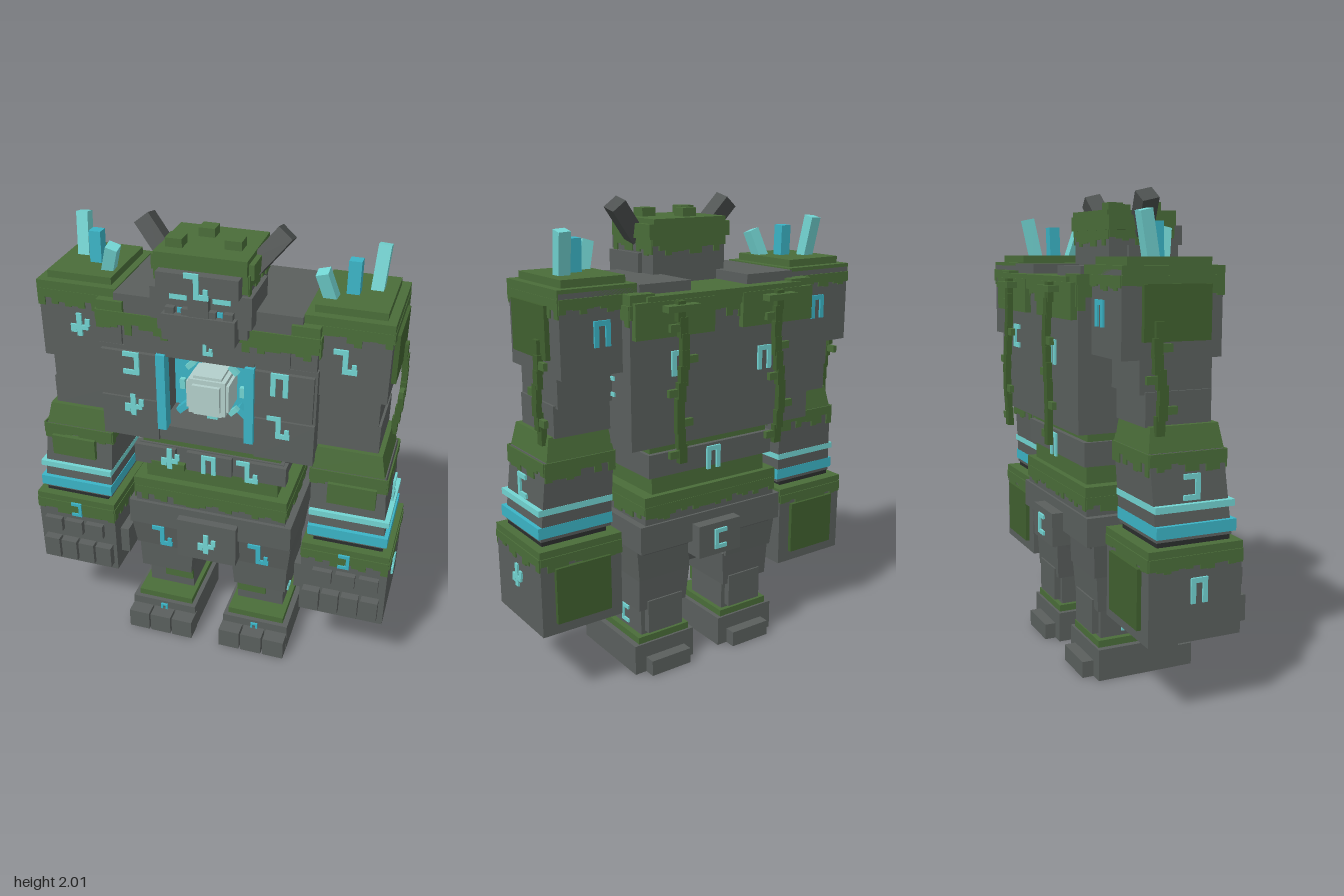
import * as THREE from 'three';

const flat = (name, color) => {
  const m = new THREE.MeshStandardMaterial({ color });
  m.name = name;
  return m;
};
const stone = flat('stone', 0x5a5f5d);
const darkStone = flat('dark stone', 0x4a4e4d);
const shadowStone = flat('joint stone', 0x2b2e2d);
const moss = flat('moss', 0x4a6d39);
const darkMoss = flat('dark moss', 0x40602f);
const cyan = flat('cyan glow', 0x3bb4c6);
const pale = flat('pale glow', 0x72d4d2);
const core = flat('core glow', 0xb3cfcb);

let seed = 7;
const rnd = () => (seed = (seed * 16807) % 2147483647) / 2147483647;

function add(parent, geo, mat, name) {
  const m = new THREE.Mesh(geo, mat);
  m.name = name;
  parent.add(m);
  return m;
}
// Box from its limits; x limits may come in either order so mirroring is simple
function box(p, mat, name, xa, xb, y0, y1, z0, z1) {
  const m = add(p, new THREE.BoxGeometry(Math.abs(xb - xa), y1 - y0, z1 - z0), mat, name);
  m.position.set((xa + xb) / 2, (y0 + y1) / 2, (z0 + z1) / 2);
  return m;
}
// Block with different bottom and top rectangles [xa, xb, z0, z1]
function taper(p, mat, name, bottom, top, y0, y1) {
  const g = new THREE.BoxGeometry(1, 1, 1), a = g.attributes.position;
  for (let i = 0; i < a.count; i++) {
    const r = a.getY(i) > 0 ? top : bottom;
    const lo = Math.min(r[0], r[1]), hi = Math.max(r[0], r[1]);
    a.setXYZ(i, a.getX(i) > 0 ? hi : lo, a.getY(i) > 0 ? y1 : y0, a.getZ(i) > 0 ? r[3] : r[2]);
  }
  g.computeVertexNormals();
  return add(p, g, mat, name);
}
// Thin moss sheets with stepped lower edges around the four sides of a block
function mossSkirt(p, name, xa, xb, z0, z1, top, drop) {
  const g = new THREE.Group();
  g.name = name;
  const cx = (xa + xb) / 2, cz = (z0 + z1) / 2, w = Math.abs(xb - xa), d = z1 - z0;
  for (let i = 0; i < 4; i++) {
    const len = i % 2 ? d : w, off = (i % 2 ? w : d) / 2, n = Math.max(4, Math.round(len / 0.03));
    const s = new THREE.Shape();
    s.moveTo(-len / 2, top);
    for (let k = 0; k < n; k++) {
      const y = top - drop * (0.45 + 0.55 * rnd());
      s.lineTo(-len / 2 + (k * len) / n, y);
      s.lineTo(-len / 2 + ((k + 1) * len) / n, y);
    }
    s.lineTo(len / 2, top);
    const m = add(g, new THREE.ExtrudeGeometry(s, { depth: 0.006, bevelEnabled: false }), moss, 'mossDrip');
    const a = (i * Math.PI) / 2;
    m.rotation.y = a;
    m.position.set(cx + Math.sin(a) * (off - 0.001), 0, cz + Math.cos(a) * (off - 0.001));
  }
  p.add(g);
}
// Rune bars [x, y, w, h] on a 1 x 1 cell
const RUNES = {
  cross: [[0, 0, .22, 1], [0, -.1, .75, .2], [.35, .12, .2, .3], [-.25, -.25, .25, .2]],
  c: [[-.26, 0, .2, 1], [.08, .4, .5, .2], [.08, -.4, .5, .2]],
  j: [[.26, 0, .2, 1], [-.08, .4, .5, .2], [-.08, -.4, .5, .2]],
  n: [[-.25, 0, .2, 1], [.25, 0, .2, 1], [0, .4, .4, .2]],
  hook: [[0, 0, .2, 1], [-.25, .4, .45, .2], [.25, -.4, .45, .2], [.35, -.2, .18, .25]],
};
function rune(p, type, x, y, z, ry = 0, size = 0.1, mat = pale) {
  const g = new THREE.Group();
  g.name = 'rune';
  for (const [bx, by, w, h] of RUNES[type])
    add(g, new THREE.BoxGeometry(w * size, h * size, 0.009), mat, 'runeBar').position.set(bx * size, by * size, 0);
  g.position.set(x, y, z + 0.003 * Math.cos(ry));
  g.rotation.y = ry;
  p.add(g);
}
// Hanging vine made of short jogged links with leaves
function vine(p, path, ry) {
  const g = new THREE.Group();
  g.name = 'vine';
  const curve = new THREE.CatmullRomCurve3(path.map(v => new THREE.Vector3(...v)));
  const n = Math.ceil(curve.getLength() / 0.065);
  for (let i = 0; i < n; i++) {
    const a = curve.getPointAt(i / n), b = curve.getPointAt((i + 1) / n);
    const m = add(g, new THREE.BoxGeometry(0.036, a.distanceTo(b) + 0.015, 0.024), darkMoss, 'vineLink');
    m.position.lerpVectors(a, b, 0.5);
    m.rotation.y = ry;
    if (i % 2) {
      const leaf = add(g, new THREE.BoxGeometry(0.05, 0.03, 0.018), moss, 'leaf');
      const o = i % 4 === 1 ? 0.035 : -0.035;
      leaf.position.copy(m.position).add(new THREE.Vector3(Math.cos(ry) * o, 0, -Math.sin(ry) * o));
      leaf.rotation.y = ry;
    }
  }
  p.add(g);
}

function buildHead(p) {
  box(p, stone, 'skull', -.18, .18, 1.6, 1.85, -.02, .27);
  box(p, stone, 'brow', -.16, .16, 1.78, 1.86, .2, .325);
  box(p, stone, 'cheeks', -.2, .2, 1.65, 1.78, .06, .285);
  box(p, stone, 'jaw', -.145, .145, 1.585, 1.69, .2, .32);
  box(p, stone, 'nose', -.04, .04, 1.68, 1.78, .25, .315);
  box(p, moss, 'mossCapLower', -.2, .2, 1.84, 1.9, -.03, .26);
  box(p, moss, 'mossCap', -.18, .18, 1.86, 1.92, -.03, .285);
  mossSkirt(p, 'capDrips', -.182, .182, -.022, .272, 1.86, .09);
  for (const [x, z] of [[-.035, .06], [-.12, .195], [.1, .16]])
    box(p, moss, 'mossTuft', x - .033, x + .033, 1.91, 1.955, z - .033, z + .033);
  for (const s of [-1, 1]) {
    box(p, pale, 'eye', s * .05, s * .12, 1.743, 1.775, .282, .292);
    box(p, cyan, 'tear', s * .06, s * .09, 1.685, 1.71, .282, .292);
    for (const x of [.05, .115]) box(p, stone, 'tooth', s * (x - .018), s * (x + .018), 1.685, 1.715, .26, .31);
    const horn = add(p, new THREE.BoxGeometry(.07, .18, .075), darkStone, 'horn');
    horn.position.set(s * .225, 1.91, .115);
    horn.rotation.set(-.22, 0, -s * .68);
  }
  rune(p, 'hook', 0, 1.82, .327);
}

function buildTorso(p) {
  // chest blocks around an open cavity
  box(p, stone, 'chestBack', -.45, .45, 1.06, 1.63, -.27, .03);
  box(p, stone, 'chestTop', -.43, .43, 1.47, 1.63, .03, .22);
  box(p, stone, 'chestBottom', -.43, .43, 1.06, 1.13, .03, .225);
  box(p, stone, 'collar', -.2, .2, 1.46, 1.6, .1, .235);
  box(p, cyan, 'cavityBack', -.2, .2, 1.13, 1.47, .028, .036);
  for (const s of [-1, 1]) {
    box(p, stone, 'chestSide', s * .2, s * .45, 1.06, 1.48, .02, .225);
    box(p, stone, 'upperChestPlate', s * .19, s * .34, 1.485, 1.61, .2, .235);
    box(p, stone, 'outerChestPlate', s * .35, s * .445, 1.485, 1.61, .2, .232);
    box(p, stone, 'chestPlate', s * .205, s * .44, 1.255, 1.46, .2, .243);
    box(p, stone, 'ribPlate', s * .205, s * .45, 1.06, 1.245, .2, .238);
    box(p, cyan, 'cavityFrame', s * .165, s * .203, 1.125, 1.47, .2, .252);
    box(p, stone, 'shoulderPad', s * .14, s * .38, 1.6, 1.7, -.23, .22);
    box(p, moss, 'backMoss', s * .07, s * .44, 1.5, 1.64, -.295, -.26);
    box(p, moss, 'sideMoss', s * .34, s * .45, 1.61, 1.67, -.275, .235);
    // glowing braces in the cavity corners
    for (const t of [-1, 1]) {
      const b = add(p, new THREE.BoxGeometry(.085, .028, .04), cyan, 'cornerBrace');
      b.position.set(s * .13, 1.3 + t * .13, .1);
      b.rotation.z = s * t * .75;
    }
    vine(p, [[s * .25, 1.63, -.305], [s * .23, 1.45, -.315], [s * .26, 1.2, -.318], [s * .24, 1.0, -.312]], 0);
    box(p, moss, 'vineRoot', s * .17, s * .32, 1.6, 1.625, -.34, -.29);
  }
  box(p, moss, 'backMossTop', -.38, .38, 1.6, 1.66, -.29, .06);
  mossSkirt(p, 'chestMoss', -.452, .452, -.273, .237, 1.63, .1);
  // core
  for (const [a, b, c] of [[.09, .06, .06], [.06, .09, .06], [.078, .078, .07], [.058, .058, .085]])
    box(p, core, 'core', -a, a, 1.29 - b, 1.29 + b, .15 - c, .15 + c);
  for (let i = 0; i < 8; i++) {
    const a = (i * Math.PI) / 4;
    const m = add(p, new THREE.BoxGeometry(.022, .045, .02), pale, 'coreRing');
    m.position.set(Math.cos(a) * .128, 1.295 + Math.sin(a) * .135, .14);
    m.rotation.z = a;
  }
  rune(p, 'hook', 0, 1.53, .237, 0, .07);
  rune(p, 'j', -.31, 1.415, .245);
  rune(p, 'n', .305, 1.415, .245);
  rune(p, 'cross', -.31, 1.22, .24);
  rune(p, 'hook', .305, 1.22, .24);
  rune(p, 'c', .23, 1.39, -.275, Math.PI);
  rune(p, 'n', -.2, 1.36, -.275, Math.PI);
  rune(p, 'c', .452, 1.3, -.13, Math.PI / 2, .08);
  // waist and hips
  box(p, moss, 'upperWaist', -.305, .305, .98, 1.07, -.17, .17);
  box(p, stone, 'waist', -.32, .32, .9, 1, -.19, .18);
  for (const [a, b] of [[-.335, -.15], [-.1, .1], [.15, .335]]) box(p, stone, 'bellyPlate', a, b, .905, .995, .15, .2);
  box(p, moss, 'bellyMoss', -.26, -.11, .895, .925, .16, .204);
  box(p, moss, 'lowerWaist', -.295, .295, .81, .91, -.17, .17);
  box(p, stone, 'hips', -.34, .34, .69, .82, -.19, .2);
  box(p, moss, 'hipMoss', -.345, .345, .77, .822, -.195, .205);
  mossSkirt(p, 'hipDrips', -.342, .342, -.192, .202, .78, .07);
  box(p, stone, 'belt', -.37, .37, .58, .7, -.2, .215);
  taper(p, stone, 'pelvis', [-.3, .3, -.13, .15], [-.35, .35, -.18, .19], .46, .59);
  box(p, stone, 'frontFlap', -.135, .135, .465, .665, .15, .25);
  box(p, stone, 'backFlap', -.11, .11, .515, .66, -.25, -.15);
  rune(p, 'cross', -.175, .95, .202);
  rune(p, 'n', 0, .95, .202, 0, .09);
  rune(p, 'hook', .17, .95, .202);
  rune(p, 'cross', 0, .56, .252);
  rune(p, 'n', 0, .94, -.195, Math.PI);
  rune(p, 'c', 0, .59, -.255, Math.PI, .09);
}

function buildArm(p, s) {
  const X = (a, b, z0, z1) => [s * a, s * b, z0, z1];
  box(p, stone, 'shoulder', s * .37, s * .715, 1.37, 1.69, -.215, .195);
  box(p, moss, 'shoulderMoss', s * .38, s * .72, 1.66, 1.705, -.215, .2);
  box(p, moss, 'shoulderMossTop', s * .41, s * .685, 1.7, 1.735, -.18, .165);
  mossSkirt(p, 'shoulderDrips', s * .37, s * .717, -.217, .197, 1.67, .075);
  box(p, darkMoss, 'shoulderMossPlate', s * .7, s * .735, 1.435, 1.64, -.135, .14);
  for (const [x, z, h, tz, tx, m] of [[.615, -.065, .19, -.06, -.2, pale], [.528, .01, .15, 0, -.03, cyan], [.44, .085, .13, .3, .22, pale]]) {
    const c = add(p, new THREE.BoxGeometry(.05, h, .05), m, 'crystal');
    c.position.set(s * x, 1.715 + h / 2, z);
    c.rotation.set(tx, 0, s * tz);
  }
  rune(p, s < 0 ? 'cross' : 'hook', s * .545, 1.53, .197);
  rune(p, 'n', s * .54, 1.53, -.218, Math.PI, .1, cyan);
  box(p, stone, 'upperArm', s * .42, s * .69, 1.24, 1.38, -.13, .17);
  box(p, stone, 'elbow', s * .41, s * .7, 1.12, 1.25, -.11, .165);
  taper(p, moss, 'forearmMoss', X(.44, .74, -.115, .2), X(.455, .72, -.1, .185), 1.03, 1.125);
  taper(p, stone, 'forearm', X(.45, .77, -.095, .225), X(.44, .745, -.115, .195), .7, 1.03);
  mossSkirt(p, 'forearmDrips', s * .438, s * .752, -.117, .204, 1.03, .085);
  box(p, moss, 'forearmMossPlate', s * .515, s * .715, .885, .98, .18, .225);
  box(p, pale, 'upperBand', s * .445, s * .78, .812, .838, -.105, .23);
  box(p, cyan, 'lowerBand', s * .445, s * .782, .715, .762, -.1, .238);
  box(p, shadowStone, 'wrist', s * .47, s * .765, .67, .72, -.09, .22);
  rune(p, s > 0 ? 'c' : 'j', s * .768, .9, .05, s * Math.PI / 2);
  // fist
  box(p, stone, 'fist', s * .43, s * .8, .31, .675, -.14, .255);
  box(p, moss, 'fistMoss', s * .428, s * .802, .645, .68, -.142, .257);
  mossSkirt(p, 'fistDrips', s * .43, s * .801, -.141, .256, .65, .07);
  box(p, darkMoss, 'fistMossPlate', s * .49, s * .74, .36, .6, -.158, -.13);
  box(p, stone, 'thumb', s * .39, s * .44, .38, .51, .02, .2);
  for (let i = 0; i < 3; i++) box(p, stone, 'knuckle', s * (.485 + i * .1), s * (.568 + i * .1), .492, .56, .24, .28);
  for (let i = 0; i < 4; i++) box(p, stone, 'finger', s * (.447 + i * .085), s * (.521 + i * .085), .345, .45, .24, .292);
  rune(p, 'j', s * .612, .62, .26, 0, .07, cyan);
  rune(p, s > 0 ? 'cross' : 'n', s * .804, .51, .07, s * Math.PI / 2);
  vine(p, [[s * .735, 1.5, -.07], [s * .745, 1.38, -.09], [s * .745, 1.25, -.06], [s * .725, 1.1, -.07]], s * Math.PI / 2);
}

function buildLeg(p, s) {
  taper(p, stone, 'hipJoint', [s * .1, s * .355, -.16, .18], [s * .11, s * .37, -.17, .2], .44, .58);
  taper(p, stone, 'thigh', [s * .105, s * .345, -.14, .16], [s * .09, s * .35, -.15, .165], .29, .45);
  box(p, stone, 'shin', s * .11, s * .325, .14, .3, -.12, .11);
  box(p, stone, 'calfPlate', s * .13, s * .305, .18, .33, -.15, -.1);
  box(p, moss, 'shinMoss', s * .11, s * .245, .22, .29, .08, .125);
  box(p, moss, 'ankleMoss', s * .09, s * .35, .13, .165, -.14, .2);
  box(p, stone, 'foot', s * .07, s * .375, 0, .135, -.15, .22);
  box(p, stone, 'heel', s * .12, s * .32, 0, .07, -.2, -.14);
  for (let i = 0; i < 3; i++) box(p, stone, 'toe', s * (.067 + i * .105), s * (.164 + i * .105), 0, .095, .2, .285);
  rune(p, 'hook', s * .225, .515, .198, 0, .1, cyan);
  rune(p, 'n', s * .22, .1, .222, 0, .045, cyan);
  rune(p, s > 0 ? 'c' : 'j', s * .328, .225, 0, s * Math.PI / 2, .08);
}

export function createModel() {
  const model = new THREE.Group();
  model.name = 'stoneGolem';
  const part = (name, build, s) => {
    const g = new THREE.Group();
    g.name = name;
    build(g, s);
    model.add(g);
  };
  part('head', buildHead);
  part('torso', buildTorso);
  for (const s of [1, -1]) {
    part(s > 0 ? 'leftArm' : 'rightArm', buildArm, s);
    part(s > 0 ? 'leftLeg' : 'rightLeg', buildLeg, s);
  }
  return model;
}
